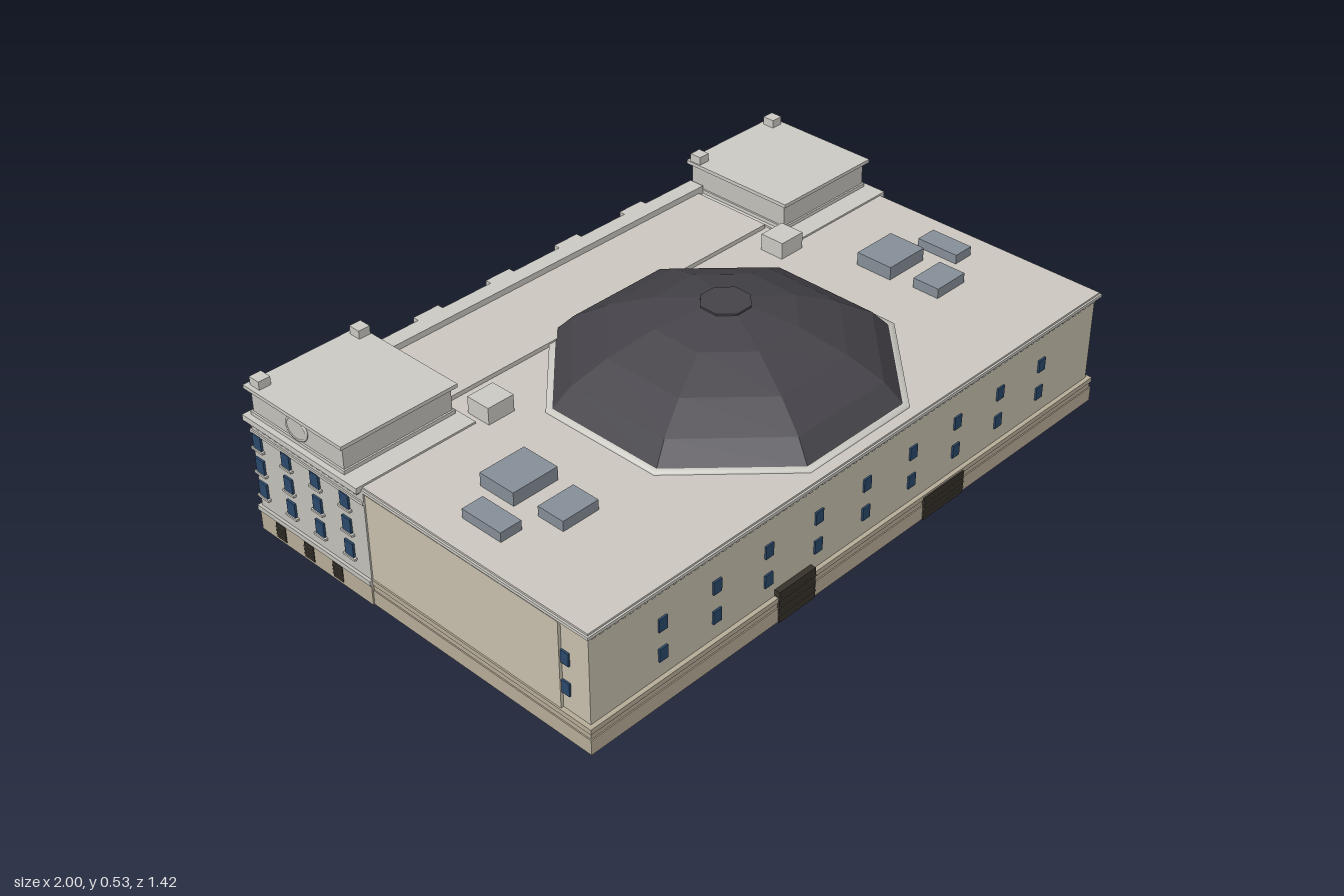
import * as THREE from 'three';

const mat = (color, flatShading = false) => new THREE.MeshStandardMaterial({ color, flatShading });
const M = {
  wall: mat(0xcbc3b1), base: mat(0xb9af9b), stone: mat(0xc6c4be), trim: mat(0xcfcdc6), roof: mat(0xcfcac3),
  dome: mat(0x46444a, true), glass: mat(0x2c4a6c), amber: mat(0xa87c2c), frame: mat(0x39434c),
  unit: mat(0x88919a), dark: mat(0x38322b), slat: mat(0x5a5148),
};

function add(parent, name, geo, material, x = 0, y = 0, z = 0) {
  const m = new THREE.Mesh(geo, material);
  m.name = name;
  m.position.set(x, y, z);
  parent.add(m);
  return m;
}

// Box given by its extents
const span = (p, name, m, x0, x1, y0, y1, z0, z1) =>
  add(p, name, new THREE.BoxGeometry(Math.abs(x1 - x0), y1 - y0, Math.abs(z1 - z0)), m,
    (x0 + x1) / 2, (y0 + y1) / 2, (z0 + z1) / 2);

// Box centred on x, lying on a facade plane z = 0 and standing out by d
const onWall = (p, name, m, x, y, w, h, d) => span(p, name, m, x - w / 2, x + w / 2, y - h / 2, y + h / 2, -0.004, d);

// Group whose local z = 0 plane is a facade
function facade(parent, name, angle, dist) {
  const g = new THREE.Group();
  g.name = name;
  g.rotation.y = angle;
  g.position.set(Math.sin(angle) * dist, 0, Math.cos(angle) * dist);
  parent.add(g);
  return g;
}

function dentils(p, x0, x1, y, d) {
  const n = Math.round((x1 - x0) / 0.022);
  for (let i = 0; i < n; i++) onWall(p, 'dentil', M.trim, x0 + (i + 0.5) * (x1 - x0) / n, y, 0.01, 0.008, d);
}

// Blue window with a stone sill
function windowUnit(p, x, y, w, h) {
  onWall(p, 'window', M.glass, x, y, w, h, 0.006);
  onWall(p, 'windowSill', M.trim, x, y - h / 2 - 0.003, w + 0.012, 0.006, 0.009);
}

// Dark opening with horizontal slats
function louvre(p, x, y, w, h, d) {
  onWall(p, 'louvre', M.dark, x, y, w, h, d);
  for (let i = 1; i < 4; i++) onWall(p, 'louvreSlat', M.slat, x, y - h / 2 + i * h / 4, w, 0.003, d + 0.002);
}

function oval(p, x, y) {
  const rim = add(p, 'ovalFrame', new THREE.TorusGeometry(0.036, 0.004, 6, 28), M.trim, x, y, 0.003);
  const disc = add(p, 'ovalPanel', new THREE.CylinderGeometry(0.036, 0.036, 0.008, 28).rotateX(Math.PI / 2), M.stone, x, y, 0.001);
  rim.scale.y = disc.scale.y = 0.8;
}

function archShape(r, h) {
  const s = new THREE.Shape();
  s.moveTo(-r, 0);
  s.lineTo(r, 0);
  s.lineTo(r, h);
  s.absarc(0, h, r, 0, Math.PI, false);
  s.lineTo(-r, 0);
  return s;
}
const archGeo = (r, h, d) => new THREE.ExtrudeGeometry(archShape(r, h), { depth: d, bevelEnabled: false, curveSegments: 16 });

function mainBlock(b) {
  // Stepped base courses, walls, cornice and roof
  span(b, 'baseCourse', M.base, -0.912, 0.912, 0, 0.042, -0.56, 0.568);
  span(b, 'baseCourse', M.base, -0.909, 0.909, 0.042, 0.058, -0.558, 0.565);
  span(b, 'baseLedge', M.base, -0.912, 0.912, 0.058, 0.072, -0.56, 0.568);
  span(b, 'mainWall', M.wall, -0.9, 0.9, 0.07, 0.32, -0.545, 0.556);
  span(b, 'mainCornice', M.trim, -0.912, 0.912, 0.32, 0.328, -0.55, 0.568);
  span(b, 'roof', M.roof, -0.907, 0.907, 0.328, 0.333, -0.55, 0.563);

  const front = facade(b, 'frontFacade', 0, 0.556);
  for (let i = -4; i <= 4; i++)
    for (const y of [0.135, 0.219]) onWall(front, 'frontWindow', M.glass, i * 0.1705, y, 0.026, 0.036, 0.005);
  dentils(front, -0.9, 0.9, 0.314, 0.007);
  louvre(front, -0.254, 0.045, 0.125, 0.09, 0.016);
  louvre(front, 0.288, 0.033, 0.155, 0.066, 0.016);

  for (const s of [-1, 1]) {
    span(b, 'sidePanel', M.wall, s * 0.89, s * 0.908, 0.072, 0.314, -0.16, 0.473);
    const side = facade(b, 'sideFacade', s * Math.PI / 2, 0.9);
    for (const y of [0.135, 0.219]) onWall(side, 'sideWindow', M.glass, -s * 0.486, y, 0.024, 0.036, 0.005);
  }
}

function dome(b) {
  // Eight-sided faceted dome with a kerb and a flat cap
  const lathe = (pts) => new THREE.LatheGeometry(pts.map(p => new THREE.Vector2(...p)), 8, Math.PI / 8);
  add(b, 'domeKerb', lathe([[0.462, 0.325], [0.462, 0.34], [0.44, 0.34]]), M.trim, 0, 0, 0.106);
  add(b, 'dome', lathe([[0.45, 0.335], [0.397, 0.39], [0.305, 0.443], [0.185, 0.493], [0.065, 0.521], [0, 0.521]]), M.dome, 0, 0, 0.106);
  add(b, 'domeCap', lathe([[0.065, 0.515], [0.065, 0.526], [0, 0.526]]), M.dome, 0, 0, 0.106);
}

function roofUnits(b) {
  for (const s of [-1, 1]) {
    for (const [x, z, w, d, h] of [[0.654, 0.084, 0.135, 0.11, 0.037], [0.796, 0.15, 0.062, 0.125, 0.026], [0.654, 0.243, 0.108, 0.08, 0.028]])
      span(b, 'roofUnit', M.unit, s * x - w / 2, s * x + w / 2, 0.33, 0.333 + h, z - d / 2, z + d / 2);
    span(b, 'roofHut', M.trim, s * 0.512 - 0.04, s * 0.512 + 0.04, 0.33, 0.38, -0.202, -0.13);
  }
}

function pavilion(b, s) {
  const g = new THREE.Group();
  g.name = s > 0 ? 'leftPavilion' : 'rightPavilion';
  b.add(g);
  const a = s * 0.575, c = s * 0.912;
  // Body, cornice, attic and its corner blocks
  span(g, 'pavilionBase', M.base, a, s * 0.916, 0, 0.058, -0.566, -0.15);
  span(g, 'pavilionLedge', M.stone, a, s * 0.92, 0.058, 0.072, -0.57, -0.15);
  span(g, 'pavilionWall', M.stone, a, c, 0.07, 0.322, -0.562, -0.152);
  span(g, 'stringCourse', M.trim, a, s * 0.916, 0.288, 0.296, -0.566, -0.152);
  span(g, 'pavilionCornice', M.trim, s * 0.568, s * 0.925, 0.322, 0.338, -0.575, -0.158);
  span(g, 'attic', M.stone, s * 0.583, s * 0.905, 0.338, 0.412, -0.555, -0.222);
  span(g, 'atticPlinth', M.trim, s * 0.578, s * 0.91, 0.338, 0.348, -0.56, -0.217);
  span(g, 'atticCornice', M.trim, s * 0.572, s * 0.917, 0.412, 0.422, -0.567, -0.21);
  for (const x of [0.592, 0.888])
    span(g, 'cornerBlock', M.trim, s * x - 0.017, s * x + 0.017, 0.42, 0.445, -0.555, -0.52);

  const back = facade(g, 'pavilionBack', Math.PI, 0.562);
  const side = facade(g, 'pavilionSide', s * Math.PI / 2, 0.912);
  for (let i = 0; i < 4; i++) {
    const xb = -s * (0.618 + i * 0.085), xs = s * (0.22 + i * 0.107);
    for (const y of [0.13, 0.2, 0.27]) {
      windowUnit(back, xb, y, 0.03, 0.04);
      windowUnit(side, xs, y, 0.03, 0.04);
    }
    if (i < 3) {
      louvre(back, xb - s * 0.0425, 0.03, 0.035, 0.044, 0.006);
      louvre(side, xs + s * 0.0535, 0.03, 0.035, 0.044, 0.006);
    }
  }
  dentils(back, s > 0 ? -0.91 : 0.575, s > 0 ? -0.575 : 0.91, 0.317, 0.008);
  dentils(side, s > 0 ? 0.16 : -0.56, s > 0 ? 0.56 : -0.16, 0.317, 0.008);
  oval(facade(g, 'atticBack', Math.PI, 0.555), -s * 0.745, 0.382);
  oval(facade(g, 'atticSide', s * Math.PI / 2, 0.905), s * 0.385, 0.382);
}

function hall(b) {
  // Raised rear roof, entablature and parapet
  span(b, 'hallRoof', M.roof, -0.56, 0.56, 0.325, 0.345, -0.55, -0.268);
  span(b, 'hallWall', M.stone, -0.576, 0.576, 0.07, 0.3, -0.55, -0.5);
  span(b, 'hallEntablature', M.stone, -0.576, 0.576, 0.296, 0.322, -0.56, -0.5);
  span(b, 'hallCornice', M.trim, -0.576, 0.576, 0.322, 0.337, -0.57, -0.5);
  span(b, 'hallParapet', M.trim, -0.576, 0.576, 0.337, 0.362, -0.556, -0.51);
  // Entrance canopy
  span(b, 'canopy', M.dark, -0.56, 0.56, 0.053, 0.067, -0.622, -0.55);
  span(b, 'canopyTop', M.trim, -0.562, 0.562, 0.067, 0.074, -0.625, -0.55);

  const f = facade(b, 'hallFacade', Math.PI, 0.55);
  dentils(f, -0.57, 0.57, 0.317, 0.016);
  for (const x of [-0.24, 0, 0.24]) {
    add(f, 'archSurround', archGeo(0.094, 0.106, 0.012), M.frame, x, 0.074, -0.004);
    add(f, 'archGlass', archGeo(0.074, 0.106, 0.015), M.amber, x, 0.074, -0.004);
    for (const dx of [-0.025, 0.025]) onWall(f, 'archMullion', M.frame, x + dx, 0.16, 0.003, 0.17, 0.013);
    onWall(f, 'archTransom', M.frame, x, 0.18, 0.148, 0.004, 0.013);
    onWall(f, 'keystone', M.trim, x, 0.278, 0.022, 0.034, 0.014);
    louvre(f, x, 0.026, 0.1, 0.044, 0.012);
  }
  // Paired columns carrying projecting blocks
  for (const x of [-0.36, -0.12, 0.12, 0.36]) {
    onWall(f, 'columnPlinth', M.trim, x, 0.084, 0.078, 0.022, 0.026);
    onWall(f, 'entablatureBlock', M.trim, x, 0.309, 0.08, 0.03, 0.024);
    onWall(f, 'parapetBlock', M.trim, x, 0.349, 0.08, 0.026, 0.024);
    for (const dx of [-0.022, 0.022]) {
      add(f, 'column', new THREE.CylinderGeometry(0.011, 0.013, 0.19, 14), M.stone, x + dx, 0.19, 0.011);
      onWall(f, 'capital', M.trim, x + dx, 0.289, 0.032, 0.012, 0.025);
    }
  }
  // End bays with windows and pilasters
  for (const s of [-1, 1]) {
    for (const y of [0.13, 0.2, 0.262]) windowUnit(f, s * 0.46, y, 0.032, y > 0.25 ? 0.028 : 0.042);
    for (const x of [0.413, 0.507, 0.555]) onWall(f, 'pilaster', M.trim, s * x, 0.185, 0.024, 0.225, 0.012);
  }
}

export function createModel() {
  const root = new THREE.Group();
  root.name = 'domedHall';
  const b = new THREE.Group();
  b.name = 'building';
  b.rotation.y = 0.162;
  root.add(b);
  mainBlock(b);
  dome(b);
  roofUnits(b);
  hall(b);
  for (const s of [-1, 1]) pavilion(b, s);
  return root;
}
